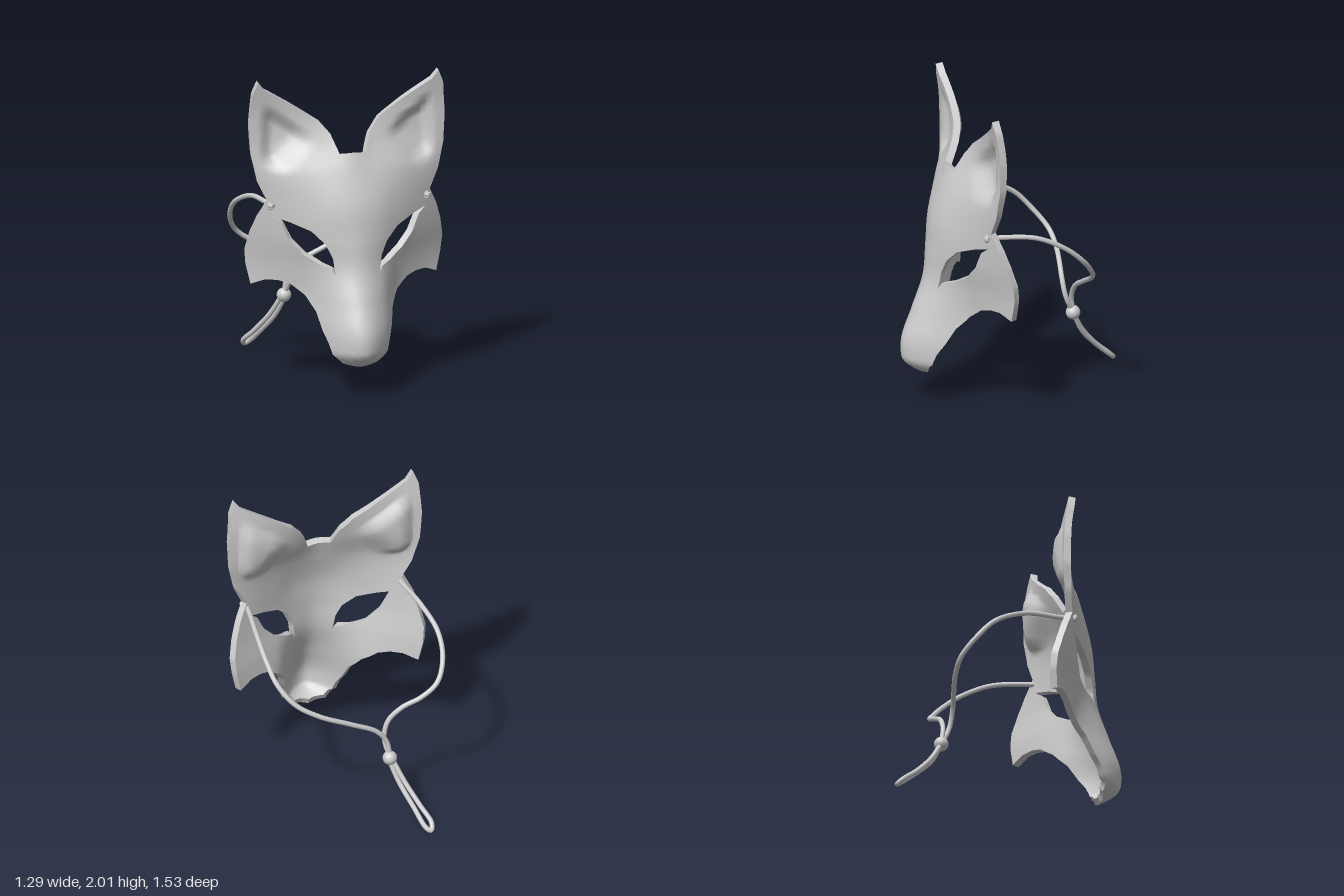
import * as THREE from 'three';
import { toCreasedNormals } from 'three/addons/utils/BufferGeometryUtils.js';

const THICKNESS = 0.045, MAX_EDGE = 0.045;

// Half outline from the middle of the forehead, round ear and cheek, to the chin
const OUTLINE = [[0, 1.535], [0.085, 1.53], [0.13, 1.65], [0.2, 1.735], [0.36, 1.835], [0.545, 1.945],
  [0.587, 2], [0.62, 1.92], [0.637, 1.72], [0.628, 1.53], [0.59, 1.36], [0.532, 1.235], [0.585, 1.13],
  [0.622, 1.02], [0.645, 0.9], [0.635, 0.8], [0.605, 0.67], [0.52, 0.705], [0.45, 0.705], [0.38, 0.685],
  [0.3, 0.62], [0.25, 0.53], [0.225, 0.42], [0.2, 0.35], [0.18, 0.28], [0.11, 0.215], [0, 0.19]];
const EYE = [[0.5, 1.13], [0.4, 1.1], [0.28, 1.05], [0.2, 0.97], [0.158, 0.88], [0.145, 0.775],
  [0.165, 0.815], [0.23, 0.835], [0.32, 0.89], [0.4, 0.98], [0.45, 1.09]];

// Depth at x = 0, .15, .3, .45, .6 for heights 0.2, 0.4 ... 2.0
const DEPTH = [
  [0.75, 0.65, 0.42, 0.3, 0.22], [0.76, 0.665, 0.43, 0.3, 0.22], [0.69, 0.61, 0.41, 0.31, 0.23],
  [0.615, 0.56, 0.43, 0.33, 0.24], [0.59, 0.555, 0.47, 0.37, 0.275], [0.565, 0.54, 0.47, 0.385, 0.3],
  [0.505, 0.485, 0.44, 0.38, 0.32], [0.435, 0.4, 0.365, 0.335, 0.315], [0.36, 0.35, 0.34, 0.33, 0.32],
  [0.35, 0.35, 0.35, 0.35, 0.35]];

// Smooth curve through evenly spaced values, continued straight past the end
function spline(v, u, mirrored) {
  const n = v.length - 1;
  const i = Math.min(Math.max(Math.floor(u), 0), n - 1), t = u - i;
  const b = v[i], c = v[i + 1];
  const a = i > 0 ? v[i - 1] : mirrored ? v[1] : 2 * b - c;
  const d = i + 2 <= n ? v[i + 2] : 2 * c - b;
  return b + 0.5 * t * (c - a + t * (2 * a - 5 * b + 4 * c - d + t * (3 * (b - c) + d - a)));
}

// Hollow of the inner ear: a triangle with soft sides
const EAR = [[0.56, 1.88], [0.2, 1.62], [0.4, 1.38], [0.575, 1.45]];
function earHollow(x, y) {
  let depth = 0.05;
  EAR.forEach(([ax, ay], i) => {
    const [bx, by] = EAR[(i + 1) % EAR.length];
    const d = ((bx - ax) * (y - ay) - (by - ay) * (x - ax)) / Math.hypot(bx - ax, by - ay);
    depth *= THREE.MathUtils.smoothstep(d, -0.01, i === 1 ? 0.16 : 0.09);
  });
  return depth;
}

function depthAt(px, y) {
  const x = Math.abs(px);
  const z = spline(DEPTH.map(row => spline(row, x / 0.15, true)), (y - 0.2) / 0.2, false);
  const chin = Math.max(0, (0.3 - y) / 0.11);
  return z - 0.12 * chin * chin - earHollow(x, y);
}

function normalAt(x, y) {
  const e = 0.008;
  return new THREE.Vector3((depthAt(x - e, y) - depthAt(x + e, y)) / (2 * e),
    (depthAt(x, y - e) - depthAt(x, y + e)) / (2 * e), 1).normalize();
}

// Flat triangles of the outline with eye holes, split until every edge is short
function flatMesh() {
  const vec = ([x, y]) => new THREE.Vector2(x, y);
  const flip = ([x, y]) => new THREE.Vector2(-x, y);
  const contour = [...OUTLINE.map(vec), ...OUTLINE.slice(1, -1).reverse().map(flip)].reverse();
  const holes = [EYE.map(vec), EYE.map(flip)];
  if (THREE.ShapeUtils.isClockWise(contour)) contour.reverse();
  holes.forEach(h => { if (!THREE.ShapeUtils.isClockWise(h)) h.reverse(); });
  let tris = THREE.ShapeUtils.triangulateShape(contour, holes);
  const pts = [...contour, ...holes.flat()];
  for (let pass = 0, changed = true; changed && pass < 9; pass++) {
    changed = false;
    const mids = new Map(), next = [];
    const mid = (a, b) => {
      if (pts[a].distanceTo(pts[b]) < MAX_EDGE) return -1;
      const key = a < b ? a + '_' + b : b + '_' + a;
      if (!mids.has(key)) mids.set(key, pts.push(pts[a].clone().lerp(pts[b], 0.5)) - 1);
      return mids.get(key);
    };
    for (let [a, b, c] of tris) {
      let m = [mid(a, b), mid(b, c), mid(c, a)];
      const count = m.filter(k => k >= 0).length;
      if (count) changed = true;
      // turn the triangle so the odd edge comes first
      const odd = count === 1 ? m.findIndex(k => k >= 0) : count === 2 ? m.indexOf(-1) : 0;
      for (let i = 0; i < odd; i++) { [a, b, c] = [b, c, a]; m = [m[1], m[2], m[0]]; }
      const [ab, bc, ca] = m;
      if (count === 0) next.push([a, b, c]);
      else if (count === 1) next.push([a, ab, c], [ab, b, c]);
      else if (count === 3) next.push([a, ab, ca], [ab, b, bc], [ca, bc, c], [ab, bc, ca]);
      else {
        next.push([ca, bc, c]);
        if (pts[a].distanceTo(pts[bc]) < pts[b].distanceTo(pts[ca])) next.push([a, b, bc], [a, bc, ca]);
        else next.push([a, b, ca], [b, bc, ca]);
      }
    }
    tris = next;
  }
  return { pts, tris };
}

function buffer(positions, normals, index) {
  const g = new THREE.BufferGeometry();
  g.setAttribute('position', new THREE.Float32BufferAttribute(positions, 3));
  if (normals) g.setAttribute('normal', new THREE.Float32BufferAttribute(normals, 3));
  g.setIndex(index);
  return g;
}

export function createModel() {
  const model = new THREE.Group();
  const material = new THREE.MeshStandardMaterial({ color: 0xcccccc, roughness: 0.7, side: THREE.DoubleSide });
  const add = (name, geometry, parent = model) => {
    const mesh = new THREE.Mesh(geometry, material);
    mesh.name = name;
    parent.add(mesh);
    return mesh;
  };

  // Mask shell: front, back and the rim joining them
  const mask = new THREE.Group();
  mask.name = 'mask';
  model.add(mask);
  const { pts, tris } = flatMesh();
  const normals = pts.map(p => normalAt(p.x, p.y));
  const front = pts.map(p => new THREE.Vector3(p.x, p.y, depthAt(p.x, p.y)));
  const back = front.map((p, i) => p.clone().addScaledVector(normals[i], -THICKNESS));
  const flat = list => list.flatMap(v => v.toArray());
  add('maskFront', buffer(flat(front), flat(normals), tris.flat()), mask);
  add('maskBack', buffer(flat(back), flat(normals.map(n => n.clone().negate())),
    tris.flatMap(([a, b, c]) => [a, c, b])), mask);

  const edges = new Set(tris.flatMap(([a, b, c]) => [a + '_' + b, b + '_' + c, c + '_' + a]));
  const rim = [], n = pts.length;
  for (const edge of edges) {
    const [a, b] = edge.split('_').map(Number);
    if (!edges.has(b + '_' + a)) rim.push(a, a + n, b, b, a + n, b + n);
  }
  add('maskRim', toCreasedNormals(buffer(flat([...front, ...back]), null, rim).toNonIndexed(), 0.7), mask);

  // Cord: two strands from the temples to the bead, and the loop hanging from it
  const cord = (name, points) => {
    const curve = new THREE.CatmullRomCurve3(points.map(p => new THREE.Vector3(...p)));
    add(name, new THREE.TubeGeometry(curve, 90, 0.016, 10));
  };
  cord('rightStrand', [[-0.5, 1.2, 0.34], [-0.515, 1.2, 0.24], [-0.55, 1.19, 0.04], [-0.6, 1.1, -0.16],
    [-0.595, 0.98, -0.28], [-0.53, 0.86, -0.37], [-0.42, 0.78, -0.385], [-0.3, 0.72, -0.37],
    [-0.21, 0.63, -0.36], [-0.18, 0.52, -0.375], [-0.2, 0.4, -0.43]]);
  cord('leftStrand', [[0.5, 1.2, 0.34], [0.51, 1.2, 0.24], [0.53, 1.18, 0.04], [0.525, 1.09, -0.15],
    [0.49, 0.98, -0.28], [0.4, 0.87, -0.365], [0.25, 0.78, -0.41], [0.05, 0.69, -0.42],
    [-0.12, 0.6, -0.415], [-0.185, 0.51, -0.415], [-0.2, 0.4, -0.43]]);
  cord('cordLoop', [[-0.21, 0.4, -0.43], [-0.27, 0.26, -0.51], [-0.34, 0.13, -0.62], [-0.385, 0.05, -0.71],
    [-0.37, 0.017, -0.747], [-0.342, 0.035, -0.73], [-0.295, 0.13, -0.62], [-0.235, 0.26, -0.5],
    [-0.19, 0.4, -0.43]]);
  add('bead', new THREE.SphereGeometry(0.046, 24, 16)).position.set(-0.2, 0.4, -0.43);

  // Small knots holding the strands at the temples
  for (const side of [-1, 1]) {
    const knot = add(side < 0 ? 'rightKnot' : 'leftKnot', new THREE.TorusKnotGeometry(0.012, 0.009, 48, 8));
    knot.position.set(side * 0.51, 1.2, 0.362);
    add('knotCore', new THREE.SphereGeometry(0.018, 12, 8), knot);
  }
  return model;
}
